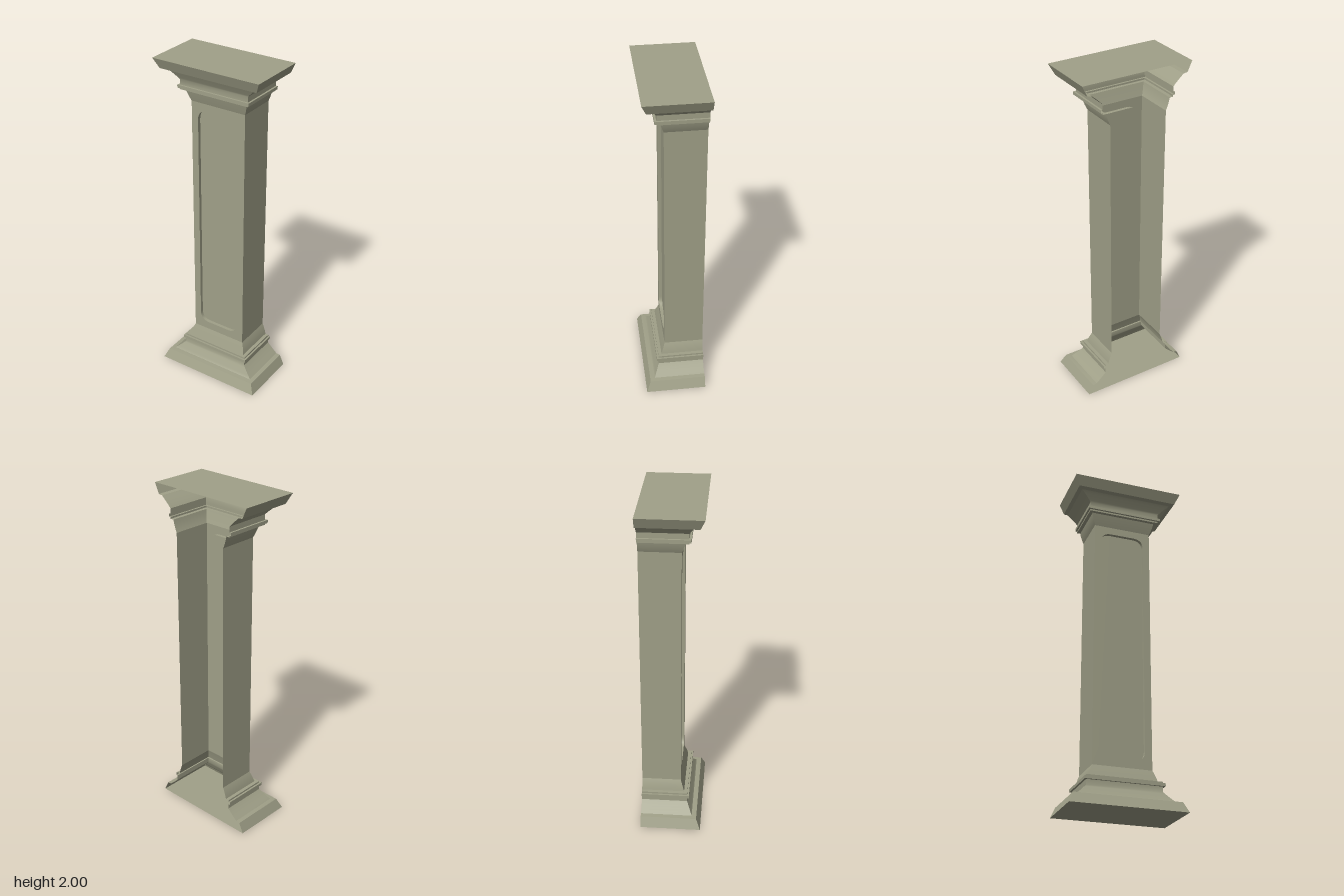
import * as THREE from 'three';
import { toCreasedNormals } from 'three/addons/utils/BufferGeometryUtils.js';

const BACK = -0.18, HALF = 0.173, FRONT = 0.053;   // open back plane and shaft faces
const Y0 = 0.25, Y1 = 1.75;                        // straight part of the shaft
const DEPTH = 0.02;                                // panel recess

const material = new THREE.MeshStandardMaterial({ color: 0xa0a088, side: THREE.DoubleSide });

function part(name, geometry) {
  const mesh = new THREE.Mesh(geometry, material);
  mesh.name = name;
  return mesh;
}

// Joins rows of points with quads; skip(i) leaves out a column
function loft(rows, skip = () => false) {
  const pos = [];
  for (let j = 0; j < rows.length - 1; j++) {
    for (let i = 0; i < rows[j].length - 1; i++) {
      if (skip(i)) continue;
      const a = rows[j][i], b = rows[j][i + 1], c = rows[j + 1][i + 1], d = rows[j + 1][i];
      pos.push(...a, ...b, ...c, ...a, ...c, ...d);
    }
  }
  const geometry = new THREE.BufferGeometry();
  geometry.setAttribute('position', new THREE.Float32BufferAttribute(pos, 3));
  return toCreasedNormals(geometry, Math.PI / 6);
}

// Three-sided section, open at the back
const section = (x, z, y) => [[-x, y, BACK], [-x, y, z], [x, y, z], [x, y, BACK]];

// Points along a curved moulding; each point is [half width, front z, height]
function cove(from, control, to, steps = 5) {
  const curve = new THREE.QuadraticBezierCurve3(...[from, control, to].map(p => new THREE.Vector3(...p)));
  return curve.getPoints(steps).map(p => p.toArray());
}

// Moulding profile from the ground up to the shaft
const profile = [
  [0.333, 0.18, 0], [0.305, 0.155, 0.06], [0.28, 0.127, 0.063],
  ...cove([0.279, 0.126, 0.064], [0.236, 0.106, 0.1], [0.217, 0.095, 0.122]),
  [0.217, 0.095, 0.153], [0.228, 0.106, 0.153], [0.228, 0.106, 0.17],
  [0.217, 0.095, 0.17], [0.217, 0.095, 0.18],
  ...cove([0.196, 0.075, 0.18], [0.188, 0.064, 0.218], [HALF, FRONT, Y0]),
];

// Rounded outline of the recessed panel
function panelOutline(Type) {
  const w = 0.132, b = 0.3, t = 1.705, r = 0.06;
  const s = new Type();
  s.moveTo(-w + r, b);
  s.lineTo(w - r, b).quadraticCurveTo(w, b, w, b + r);
  s.lineTo(w, t - r).quadraticCurveTo(w, t, w - r, t);
  s.lineTo(-w + r, t).quadraticCurveTo(-w, t, -w, t - r);
  s.lineTo(-w, b + r).quadraticCurveTo(-w, b, -w + r, b);
  return s;
}

function plate(name, y, up) {
  const geometry = new THREE.PlaneGeometry(0.666, 0.36);
  geometry.rotateX(up ? -Math.PI / 2 : Math.PI / 2);
  geometry.translate(0, y, 0);
  return part(name, geometry);
}

export function createModel() {
  const model = new THREE.Group();
  model.name = 'pilaster';

  // Base and capital share one profile
  const lower = profile.map(([x, z, y]) => section(x, z, y));
  const upper = profile.map(([x, z, y]) => section(x, z, 2 - y)).reverse();
  model.add(part('baseMoulding', loft(lower)), part('capitalMoulding', loft(upper)));
  model.add(plate('bottomPlate', 0, false), plate('topPlate', 2, true));

  // Shaft sides
  const shaft = [section(HALF, FRONT, Y0), section(HALF, FRONT, Y1)];
  model.add(part('shaftSides', loft(shaft, i => i === 1)));

  // Shaft front with the panel opening
  const face = new THREE.Shape();
  face.moveTo(-HALF, Y0).lineTo(HALF, Y0).lineTo(HALF, Y1).lineTo(-HALF, Y1).closePath();
  face.holes.push(panelOutline(THREE.Path));
  model.add(part('shaftFront', new THREE.ShapeGeometry(face, 6).translate(0, 0, FRONT)));

  // Recessed panel and its rim
  const outline = panelOutline(THREE.Shape);
  model.add(part('panel', new THREE.ShapeGeometry(outline, 6).translate(0, 0, FRONT - DEPTH)));
  const rim = [FRONT, FRONT - DEPTH].map(z => outline.getPoints(6).map(p => [p.x, p.y, z]));
  model.add(part('panelRim', loft(rim)));

  return model;
}
